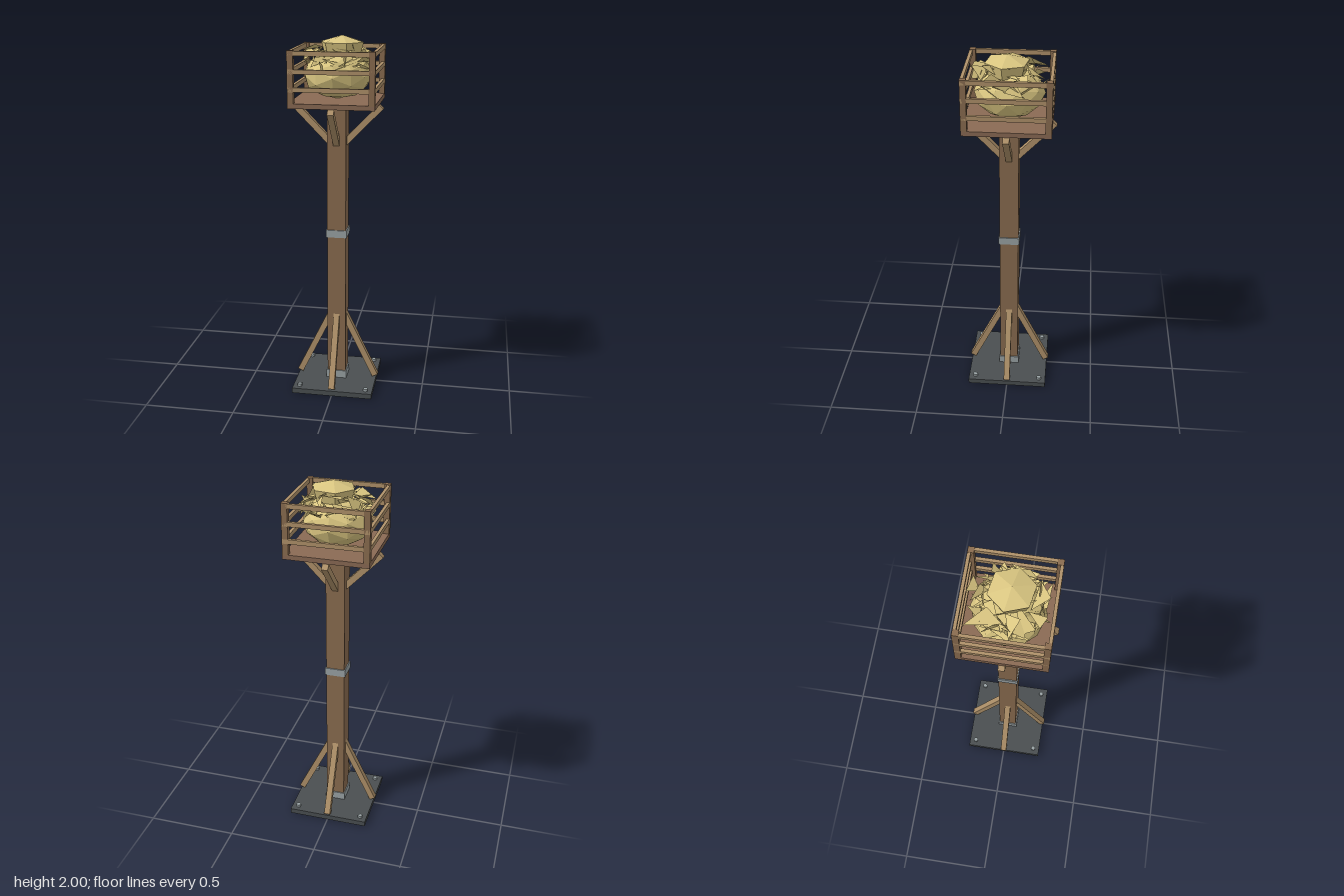
import * as THREE from 'three';

const mat = (name, color) => {
  const m = new THREE.MeshStandardMaterial({ color });
  m.name = name;
  return m;
};

export function createModel() {
  const root = new THREE.Group();
  root.name = 'strawBasketPost';
  const wood = mat('brown wood', 0x8b6d50);
  const floorWood = mat('red brown wood', 0x8a6a54);
  const paleWood = mat('pale wood', 0xb0926a);
  const steel = mat('grey steel', 0x9ba4a6);
  const iron = mat('dark iron', 0x4a4f51);
  const straw = mat('straw', 0xdac681);
  straw.side = THREE.DoubleSide;
  straw.flatShading = true;

  const add = (name, geo, material, x = 0, y = 0, z = 0, parent = root) => {
    const m = new THREE.Mesh(geo, material);
    m.name = name;
    m.position.set(x, y, z);
    parent.add(m);
    return m;
  };
  // Box given by its size and its bottom height
  const box = (name, material, w, h, d, x, y, z, parent) =>
    add(name, new THREE.BoxGeometry(w, h, d), material, x, y + h / 2, z, parent);

  // Base, post and steel collars
  box('basePlate', iron, 0.456, 0.03, 0.456, 0, 0, 0);
  box('post', wood, 0.104, 1.61, 0.104, 0, 0.03, 0);
  box('lowerCollar', steel, 0.116, 0.045, 0.116, 0, 0.03, 0);
  box('middleCollar', steel, 0.116, 0.042, 0.116, 0, 0.893, 0);

  // Corner bolts and basket corner posts
  for (const sx of [-1, 1]) for (const sz of [-1, 1]) {
    add('bolt', new THREE.CylinderGeometry(0.014, 0.014, 0.014, 6), steel, sx * 0.19, 0.037, sz * 0.19);
    box('cornerPost', wood, 0.032, 0.275, 0.032, sx * 0.212, 1.662, sz * 0.212);
  }
  box('basketFloor', floorWood, 0.456, 0.026, 0.456, 0, 1.64, 0);

  // Sloping brace in the xy plane between two points
  const brace = (name, x0, y0, x1, y1, parent) => {
    const len = Math.hypot(x1 - x0, y1 - y0);
    const b = add(name, new THREE.BoxGeometry(0.034, len, 0.034), paleWood,
      (x0 + x1) / 2, (y0 + y1) / 2, 0, parent);
    b.rotation.z = -Math.atan2(x1 - x0, y1 - y0);
  };

  // Four matching sides: braces and rails
  for (let i = 0; i < 4; i++) {
    const side = new THREE.Group();
    side.name = 'side' + (i + 1);
    side.rotation.y = i * Math.PI / 2;
    root.add(side);
    brace('footBrace', 0.222, 0.04, 0.035, 0.427, side);
    brace('basketBrace', 0.035, 1.42, 0.236, 1.627, side);
    for (const y of [1.725, 1.817, 1.91])
      box('rail', paleWood, 0.017, 0.024, 0.452, 0.2195, y, 0, side);
  }

  // Straw heap: rounded bottom, ragged middle, faceted cap
  const bottom = new THREE.IcosahedronGeometry(0.185, 1);
  bottom.scale(1, 0.69, 1);
  add('strawBottom', bottom, straw, 0, 1.792, 0);

  let seed = 11;
  const rand = () => {
    seed = (seed * 16807) % 2147483647;
    return seed / 2147483647 - 0.5;
  };
  const ragged = new THREE.IcosahedronGeometry(0.165, 1);
  const p = ragged.attributes.position;
  for (let i = 0; i < p.count; i++) {
    p.setXYZ(i,
      THREE.MathUtils.clamp(p.getX(i) + rand() * 0.13, -0.207, 0.207),
      p.getY(i) * 0.38 + rand() * 0.055,
      THREE.MathUtils.clamp(p.getZ(i) + rand() * 0.13, -0.207, 0.207));
  }
  ragged.computeVertexNormals();
  add('looseStraw', ragged, straw, 0, 1.885, 0);

  // Cap as a shallow five-sided double cone
  const cap = new THREE.LatheGeometry([[0, -0.05], [0.1, -0.03], [0.118, 0.035], [0, 0.07]]
    .map(([x, y]) => new THREE.Vector2(x, y)), 6).toNonIndexed();
  cap.computeVertexNormals();
  add('strawCap', cap, straw, 0.025, 1.93, 0.01).rotation.y = 0.35;

  return root;
}
